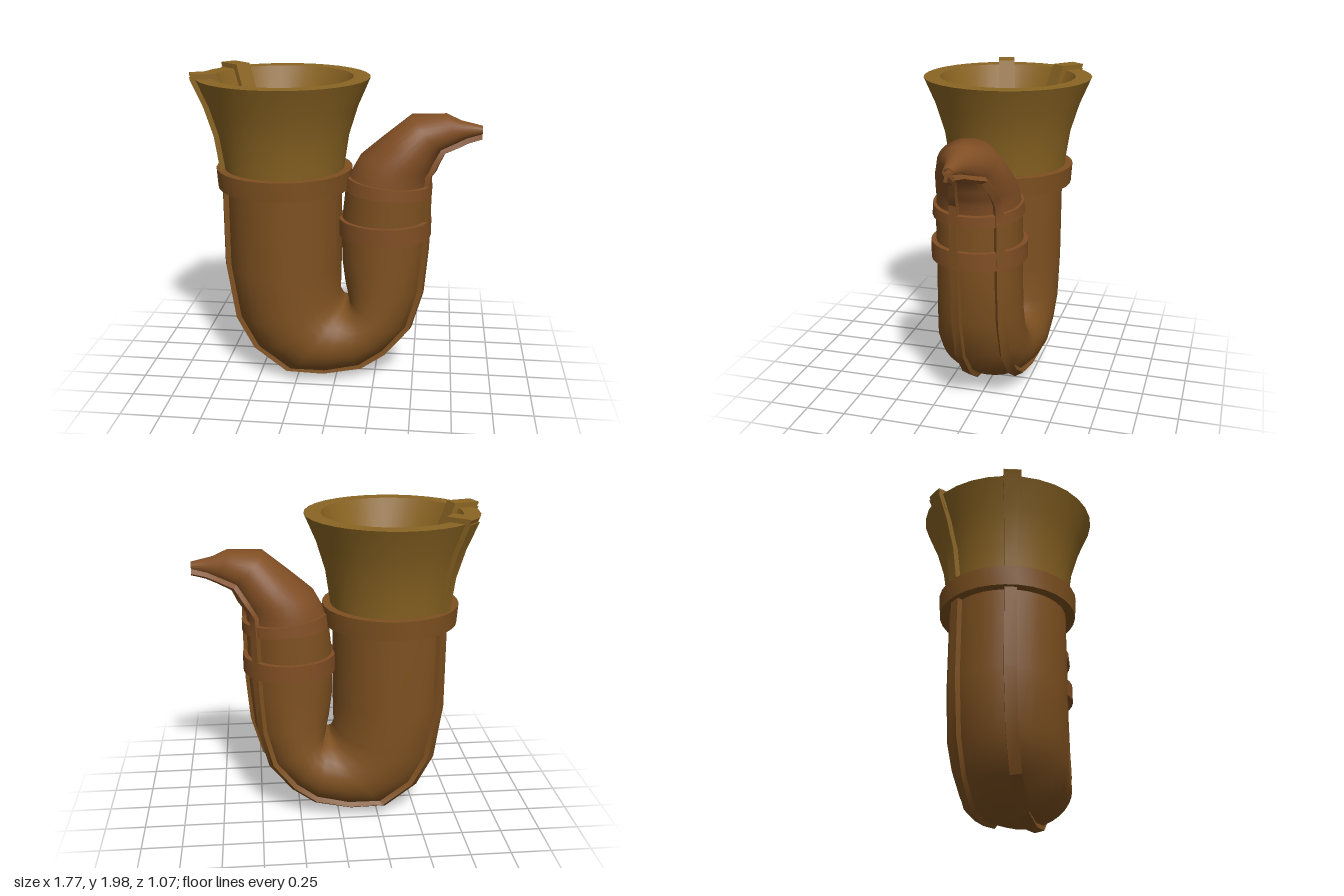
import * as THREE from 'three';
import { toCreasedNormals } from 'three/addons/utils/BufferGeometryUtils.js';

const GOLD = 0x8a6422, BROWN = 0x7d5020, COPPER = 0x804e24;
const BELL_X = -0.335;

// Sections: [inner x, inner y, outer x, outer y, half depth in z]
const round = (r, y) => [BELL_X + r, y, BELL_X - r, y, r];
const bellInside = [round(0.345, 1.78), round(0.43, 1.97)];
const bellOutside = [
  round(0.533, 1.97), round(0.46, 1.8), round(0.405, 1.62), round(0.38, 1.45), round(0.362, 1.3),
];
const body = [
  round(0.36, 1.3), round(0.36, 0.78),
  [0.02, 0.58, -0.64, 0.42, 0.355],
  [0.04, 0.54, -0.53, 0.21, 0.345],
  [0.05, 0.53, -0.32, 0.05, 0.335],
  [0.06, 0.53, -0.08, 0.045, 0.32],
  [0.07, 0.54, 0.16, 0.095, 0.305],
  [0.08, 0.55, 0.31, 0.2, 0.29],
  [0.07, 0.58, 0.46, 0.38, 0.28],
  [0.05, 0.67, 0.53, 0.62, 0.268],
  [0.03, 0.82, 0.555, 0.9, 0.262],
  [0.025, 1.05, 0.56, 1.05, 0.262],
  [0.05, 1.28, 0.56, 1.26, 0.26],
];
const neck = [
  [0.05, 1.28, 0.56, 1.26, 0.26],
  [0.08, 1.38, 0.56, 1.38, 0.25],
  [0.14, 1.49, 0.585, 1.42, 0.24],
  [0.28, 1.61, 0.605, 1.47, 0.22],
  [0.45, 1.75, 0.64, 1.54, 0.175],
  [0.66, 1.76, 0.73, 1.58, 0.095],
  [0.75, 1.72, 0.79, 1.61, 0.055],
  [0.88, 1.69, 0.88, 1.637, 0.03],
];
const mouthHole = [
  [0.88, 1.682, 0.88, 1.645, 0.02],
  [0.8, 1.682, 0.8, 1.645, 0.02],
];

// Point on a section's ellipse; angle 0 is the outer edge of the bend
function sectionPoint([ix, iy, ox, oy, hz], a) {
  const c = Math.cos(a) / 2;
  return new THREE.Vector3(
    (ix + ox) / 2 + (ox - ix) * c, (iy + oy) / 2 + (oy - iy) * c, hz * Math.sin(a));
}

// Skin a list of point rings, with end caps
function loft(rings, crease) {
  const n = rings[0].length, last = (rings.length - 1) * n, index = [];
  for (let i = 0; i < rings.length - 1; i++) {
    for (let j = 0; j < n; j++) {
      const a = i * n + j, b = i * n + (j + 1) % n;
      index.push(a, a + n, b, b, a + n, b + n);
    }
  }
  for (let j = 1; j < n - 1; j++) {
    index.push(0, j, j + 1, last, last + j + 1, last + j);
  }
  const geo = new THREE.BufferGeometry().setFromPoints(rings.flat());
  geo.setIndex(index);
  return toCreasedNormals(geo, crease);
}

function tube(sections, sides = 32) {
  return loft(sections.map((s) => Array.from({ length: sides },
    (_, j) => sectionPoint(s, (j / sides) * Math.PI * 2))), 0.9);
}

// Raised band lying along the tube at a fixed angle around it
function strip(sections, angle) {
  return loft(sections.map((s) => {
    const p = sectionPoint(s, angle);
    const t = sectionPoint(s, angle + 0.01).sub(sectionPoint(s, angle - 0.01)).normalize();
    const centre = sectionPoint(s, 0).add(sectionPoint(s, Math.PI)).multiplyScalar(0.5);
    const out = p.clone().sub(centre);
    out.addScaledVector(t, -out.dot(t)).normalize();
    const w = Math.max(0.1 * s[4], 0.01);
    return [[-w, 0.03], [w, 0.03], [w, -0.02], [-w, -0.02]].map(
      ([u, v]) => p.clone().addScaledVector(t, u).addScaledVector(out, v));
  }), 0.4);
}

// Hook that folds the strip over the bell rim and down the inside
function rimHook(angle) {
  const shape = new THREE.Shape([
    [0.5, 1.86], [0.563, 1.995], [0.56, 2.0], [0.4, 2.0], [0.31, 1.78], [0.36, 1.77],
    [0.44, 1.95], [0.49, 1.95],
  ].map(([x, y]) => new THREE.Vector2(x, y)));
  const geo = new THREE.ExtrudeGeometry(shape, { depth: 0.106, bevelEnabled: false });
  geo.translate(0, 0, -0.053).rotateY(Math.PI + angle).translate(BELL_X, 0, 0);
  return geo;
}

// Collar ring with a rectangular section
function collar(inner, rBottom, rTop, height) {
  const h = height / 2;
  const profile = [[inner, -h], [rBottom, -h], [rTop, h], [inner, h], [inner, -h]];
  return toCreasedNormals(
    new THREE.LatheGeometry(profile.map(([x, y]) => new THREE.Vector2(x, y)), 32), 0.6);
}

export function createModel() {
  const model = new THREE.Group();
  const add = (name, geo, color) => {
    const mesh = new THREE.Mesh(geo, new THREE.MeshStandardMaterial({ color }));
    mesh.name = name;
    model.add(mesh);
    return mesh;
  };

  // Horn
  add('bell', tube([...bellInside, ...bellOutside]), GOLD);
  add('curvedBody', tube(body), BROWN);
  add('neck', tube([...neck, ...mouthHole]), COPPER);

  // Collars
  add('bellCollar', collar(0.34, 0.417, 0.425, 0.12), BROWN).position.set(BELL_X, 1.35, 0);
  add('legCollar', collar(0.25, 0.292, 0.292, 0.11), COPPER).position.set(0.298, 1.045, 0);
  const neckCollar = add('neckCollar', collar(0.24, 0.276, 0.27, 0.07), COPPER);
  neckCollar.position.set(0.317, 1.31, 0);
  neckCollar.rotation.z = -0.09;

  // Two strips running from the bell rim to the mouthpiece
  for (const degrees of [16, -41]) {
    const a = THREE.MathUtils.degToRad(degrees);
    add('rimHook', rimHook(a), GOLD);
    add('bellStrip', strip(bellOutside, a), GOLD);
    add('bodyStrip', strip(body, a), BROWN);
    add('neckStrip', strip(neck, a), COPPER);
  }
  return model;
}
